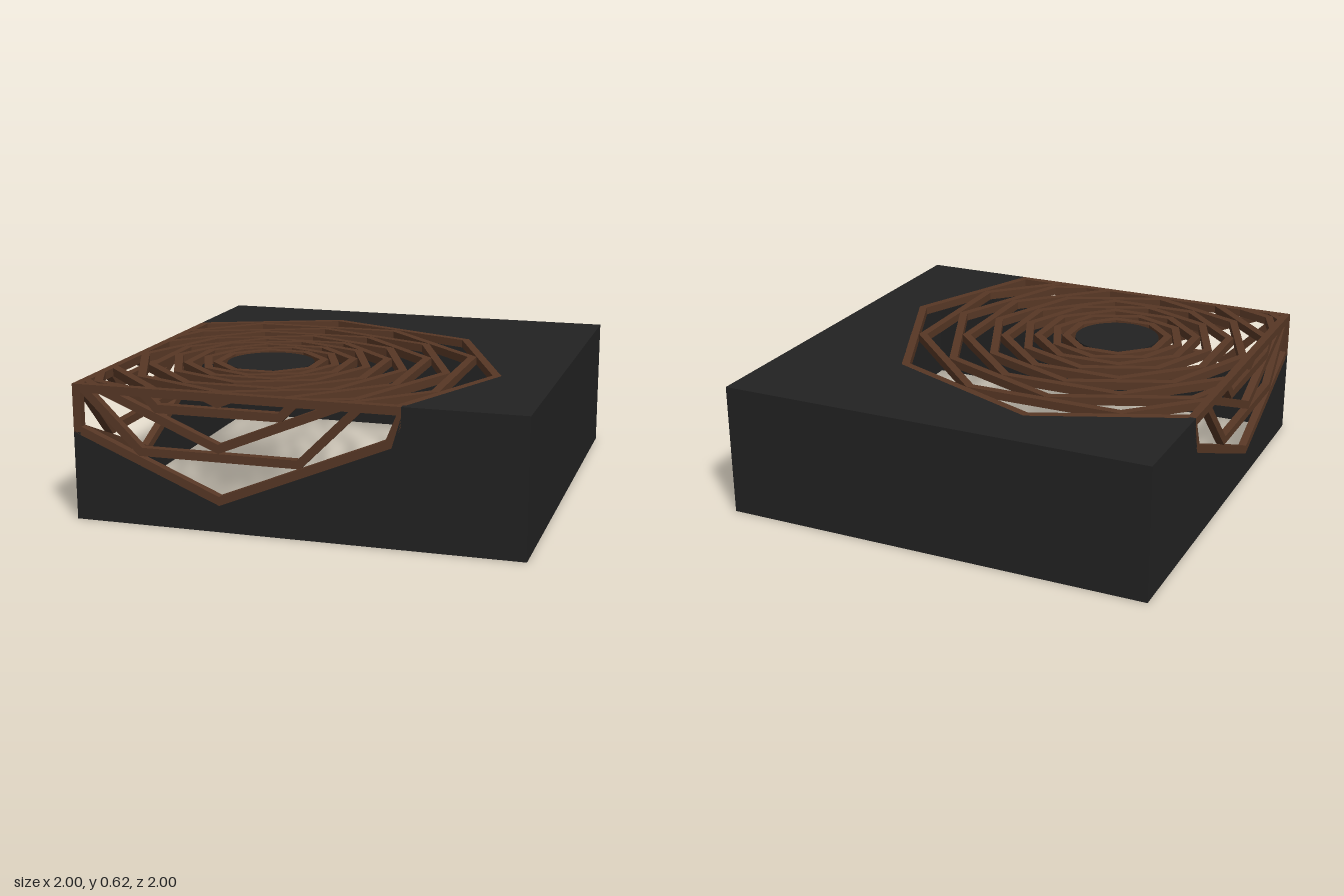
import * as THREE from 'three';
import { mergeGeometries } from 'three/addons/utils/BufferGeometryUtils.js';

const H = 0.61;          // case height
const WALL = 0.03;       // case wall thickness
const BAR = 0.037;       // grille bar width and depth
const RADII = [1.077, 0.957, 0.847, 0.745, 0.648, 0.56, 0.477, 0.4, 0.33, 0.265];

const black = new THREE.MeshStandardMaterial({ color: 0x222222 });
black.name = 'black case';
const brown = new THREE.MeshStandardMaterial({ color: 0x573725 });
brown.name = 'brown grille';

// Flat plate from outline points, its outer face at z = top
function plate(points, depth, top = 0) {
  const shape = new THREE.Shape(points.map(([x, y]) => new THREE.Vector2(x, y)));
  const geo = new THREE.ExtrudeGeometry(shape, { depth, bevelEnabled: false });
  return geo.translate(0, 0, top - depth);
}

// Keep the part of a convex polygon where sign * p[axis] <= limit
function clipSide(poly, axis, sign, limit) {
  const out = [];
  poly.forEach((a, i) => {
    const b = poly[(i + 1) % poly.length];
    const da = sign * a[axis] - limit;
    const db = sign * b[axis] - limit;
    if (da <= 0) out.push(a);
    if (da * db < 0) {
      const t = da / (da - db);
      out.push([a[0] + (b[0] - a[0]) * t, a[1] + (b[1] - a[1]) * t]);
    }
  });
  return out;
}

function clip(poly, [x0, x1, y0, y1]) {
  for (const [axis, sign, limit] of [[0, -1, -x0], [0, 1, x1], [1, -1, -y0], [1, 1, y1]]) {
    poly = clipSide(poly, axis, sign, limit);
  }
  return poly;
}

const rect = (x0, x1, y0, y1) => [[x0, y0], [x1, y0], [x1, y1], [x0, y1]];

// Nested octagon rings, each turned an eighth-half, trimmed to a rectangle
function grille(cx, cy, bounds, frame, mirror = 1, lift = 0) {
  const parts = frame.map((r) => r.map(([x, y]) => [x * mirror, y])).map((r) => plate(r, BAR));
  RADII.forEach((R, k) => {
    const inner = R - BAR / Math.cos(Math.PI / 8);
    const turn = (k % 2) * Math.PI / 8;
    const point = (r, i) => {
      const a = turn + i * Math.PI / 4;
      return [cx + r * Math.cos(a), cy + r * Math.sin(a)];
    };
    for (let i = 0; i < 8; i++) {
      const quad = clip([point(R, i), point(R, i + 1), point(inner, i + 1), point(inner, i)], bounds);
      if (quad.length < 3) continue;
      parts.push(plate(quad.map(([x, y]) => [x * mirror, y]), BAR, R < 0.5 ? lift : 0));
    }
  });
  return mergeGeometries(parts);
}

export function createModel() {
  const model = new THREE.Group();
  const add = (name, geo, material) => {
    const mesh = new THREE.Mesh(geo, material);
    mesh.name = name;
    model.add(mesh);
    return mesh;
  };
  const toTop = (geo) => geo.rotateX(-Math.PI / 2).translate(0, H, 0);
  const toFront = (geo) => geo.translate(0, 0, 1);
  const toSide = (geo) => geo.rotateY(-Math.PI / 2).translate(-1, 0, 0);

  // Top plate with the octagonal opening reaching two edges
  const topOutline = [[-1, 1], [-1, 0.47], [-0.33, 0.747], [0.43, 0.43],
    [0.747, -0.33], [0.47, -1], [1, -1], [1, 1]];
  add('topPlate', toTop(plate(topOutline, WALL)), black);

  // Front and right walls share one notched outline
  const wallOutline = [[-1, 0], [1, 0], [1, H], [0.47, H], [0.47, 0.57],
    [0.43, 0.433], [-0.33, 0.118], [-1, 0.396]];
  add('frontWall', toFront(plate(wallOutline, WALL)), black);
  add('rightWall', toSide(plate(wallOutline.map(([x, y]) => [-x, y]), WALL)), black);

  // Plain walls
  const back = add('backWall', new THREE.BoxGeometry(2, H, WALL), black);
  back.position.set(0, H / 2, -1 + WALL / 2);
  const left = add('leftWall', new THREE.BoxGeometry(WALL, H, 2), black);
  left.position.set(1 - WALL / 2, H / 2, 0);

  // Top grille with straight bars along the open edges
  const topFrame = [rect(-1, -1 + BAR, -1, 0.47), rect(-1, 0.47, -1, -1 + BAR)];
  add('topGrille', toTop(grille(-0.33, -0.33, [-1, 1, -1, 1], topFrame, 1, 0.005)), brown);

  // Wall grilles with a top bar and a corner post
  const wallFrame = [rect(-1, 0.47, H - BAR, H), rect(-1, -1 + BAR, 0.396, H)];
  const wallBounds = [-1, 0.47, 0, H];
  add('frontGrille', toFront(grille(-0.33, 1.195, wallBounds, wallFrame)), brown);
  add('rightGrille', toSide(grille(-0.33, 1.195, wallBounds, wallFrame, -1)), brown);

  // Round cap in the middle of the rings
  const cap = add('centreCap', new THREE.CylinderGeometry(0.2, 0.2, WALL, 32), black);
  cap.position.set(-0.33, H - WALL / 2, 0.33);

  return model;
}
